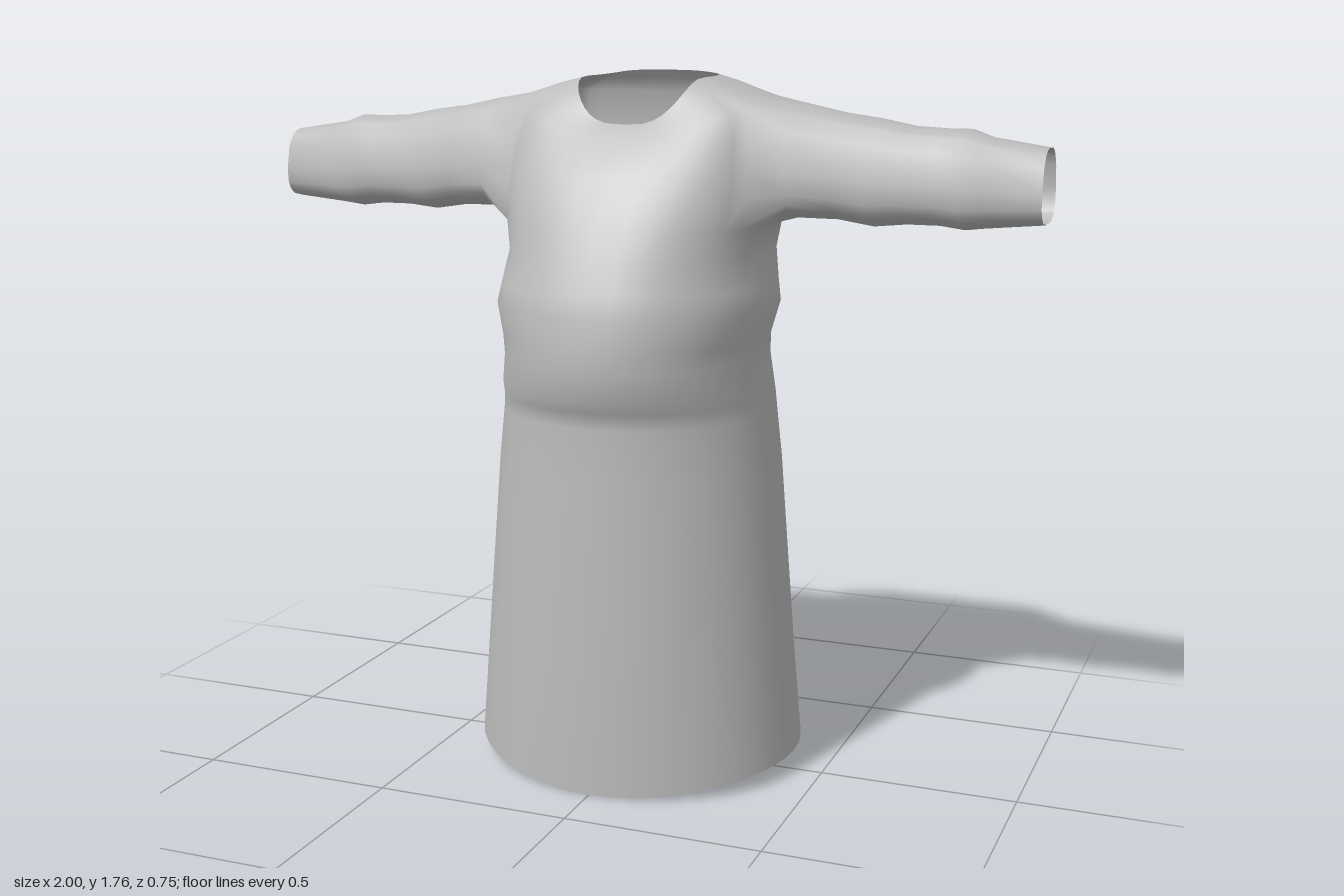
import * as THREE from 'three';

const COLS = 40;

// Skirt and waist rings: height, half width, front z, back z
const BODY = [
  [0.05, 0.425, 0.35, -0.375],
  [0.3, 0.404, 0.35, -0.342],
  [0.8, 0.362, 0.34, -0.332],
  [0.93, 0.347, 0.337, -0.325],
  [0.97, 0.344, 0.343, -0.31],
  [1.0, 0.341, 0.369, -0.292],
  [1.07, 0.331, 0.374, -0.27],
  [1.12, 0.333, 0.375, -0.25],
  [1.2, 0.351, 0.364, -0.264],
  [1.25, 0.34, 0.35, -0.26],
  [1.33, 0.324, 0.32, -0.267],
];

// Chest rings up to the neck: side height, half width, front z, back z, front drop
const YOKE = [
  [1.4, 0.337, 0.29, -0.25, 0],
  [1.47, 0.345, 0.262, -0.249, 0.01],
  [1.54, 0.343, 0.227, -0.249, 0.02],
  [1.62, 0.335, 0.187, -0.247, 0.05],
  [1.707, 0.31, 0.15, -0.232, 0.1],
  [1.735, 0.22, 0.125, -0.207, 0.105],
  [1.75, 0.155, 0.11, -0.19, 0.11],
];
const HOLE_BOTTOM = BODY.length, HOLE_TOP = HOLE_BOTTOM + 4;

// Sleeve rings, shoulder to cuff: x, centre height, half height, centre z, half depth
const SLEEVE = [
  [0.4, 1.554, 0.138, -0.065, 0.15],
  [0.5, 1.543, 0.128, -0.068, 0.137],
  [0.59, 1.53, 0.129, -0.069, 0.131],
  [0.67, 1.526, 0.117, -0.07, 0.126],
  [0.75, 1.524, 0.115, -0.069, 0.119],
  [0.81, 1.52, 0.119, -0.07, 0.122],
  [0.86, 1.514, 0.107, -0.068, 0.108],
  [1, 1.51, 0.09, -0.067, 0.092],
];

const { smoothstep } = THREE.MathUtils;
const bend = (v, p) => Math.sign(v) * Math.abs(v) ** p;

export function createModel() {
  const pos = [], index = [];
  const at = (r, c) => r * COLS + (c + COLS) % COLS;
  const quad = (a, b, c, d) => index.push(a, b, c, a, c, d);

  // One closed ring of the body: round in front, flattened behind,
  // with side seams further back near the shoulders
  const addRing = ([y, w, zf, zb], p, frontDrop, backRise) => {
    const chest = smoothstep(y, 1.1, 1.42);
    const seam = -0.04 * chest, fullness = 1.12 + 0.38 * chest;
    for (let c = 0; c < COLS; c++) {
      const a = c / COLS * Math.PI * 2;
      const s = Math.sin(a), k = Math.cos(a), depth = Math.abs(k) ** p;
      const z = k > 0
        ? seam + depth * (zf - seam)
        : seam + Math.min(1, depth * fullness) * (zb - seam);
      pos.push(w * bend(s, p), y + (k > 0 ? -frontDrop : backRise) * k * k, z);
    }
  };

  // The hem dips at the front, the neckline dips at the front and rises behind
  BODY.forEach((ring, r) => addRing(ring, 1 - 0.13 * smoothstep(ring[0], 0.9, 1.4), r === 0 ? 0.05 : 0, 0));
  YOKE.forEach((ring, r) => {
    const neck = Math.max(0, r - 4);
    addRing(ring, 0.85 - neck * 0.11, ring[4], neck * 0.006);
  });

  // Armholes span these columns on each side
  const holes = [[1, 7, 14], [-1, 26, 33]];
  for (let r = 0; r < BODY.length + YOKE.length - 1; r++) {
    for (let c = 0; c < COLS; c++) {
      const open = r >= HOLE_BOTTOM && r < HOLE_TOP && holes.some(([, a, b]) => c >= a && c < b);
      if (!open) quad(at(r, c), at(r, c + 1), at(r + 1, c + 1), at(r + 1, c));
    }
  }

  // Sleeves grow out of the armhole edges, slightly narrower along the top
  for (const [side, c0, c1] of holes) {
    let ring = [];
    for (let c = c0; c < c1; c++) ring.push(at(HOLE_BOTTOM, c));
    for (let r = HOLE_BOTTOM; r < HOLE_TOP; r++) ring.push(at(r, c1));
    for (let c = c1; c > c0; c--) ring.push(at(HOLE_TOP, c));
    for (let r = HOLE_TOP; r > HOLE_BOTTOM; r--) ring.push(at(r, c0));
    const angles = ring.map(i => Math.atan2((pos[i * 3 + 1] - 1.55) / 0.15, (pos[i * 3 + 2] + 0.055) / 0.15));
    for (const [x, cy, hy, cz, hz] of SLEEVE) {
      const next = angles.map(a => {
        const up = bend(Math.sin(a), 0.75), out = bend(Math.cos(a), 0.75);
        pos.push(side * x, cy + hy * up, cz + hz * out * (1 - 0.12 * up));
        return pos.length / 3 - 1;
      });
      ring.forEach((v, i) => {
        const j = (i + 1) % ring.length;
        quad(v, ring[j], next[j], next[i]);
      });
      ring = next;
    }
  }

  const geometry = new THREE.BufferGeometry();
  geometry.setAttribute('position', new THREE.Float32BufferAttribute(pos, 3));
  geometry.setIndex(index);
  geometry.computeVertexNormals();

  const cloth = new THREE.MeshStandardMaterial({ color: 0xbcbcbc, side: THREE.DoubleSide });
  cloth.name = 'grey cloth';
  const gown = new THREE.Mesh(geometry, cloth);
  gown.name = 'gown';

  const group = new THREE.Group();
  group.name = 'longSleevedGown';
  group.add(gown);
  return group;
}
